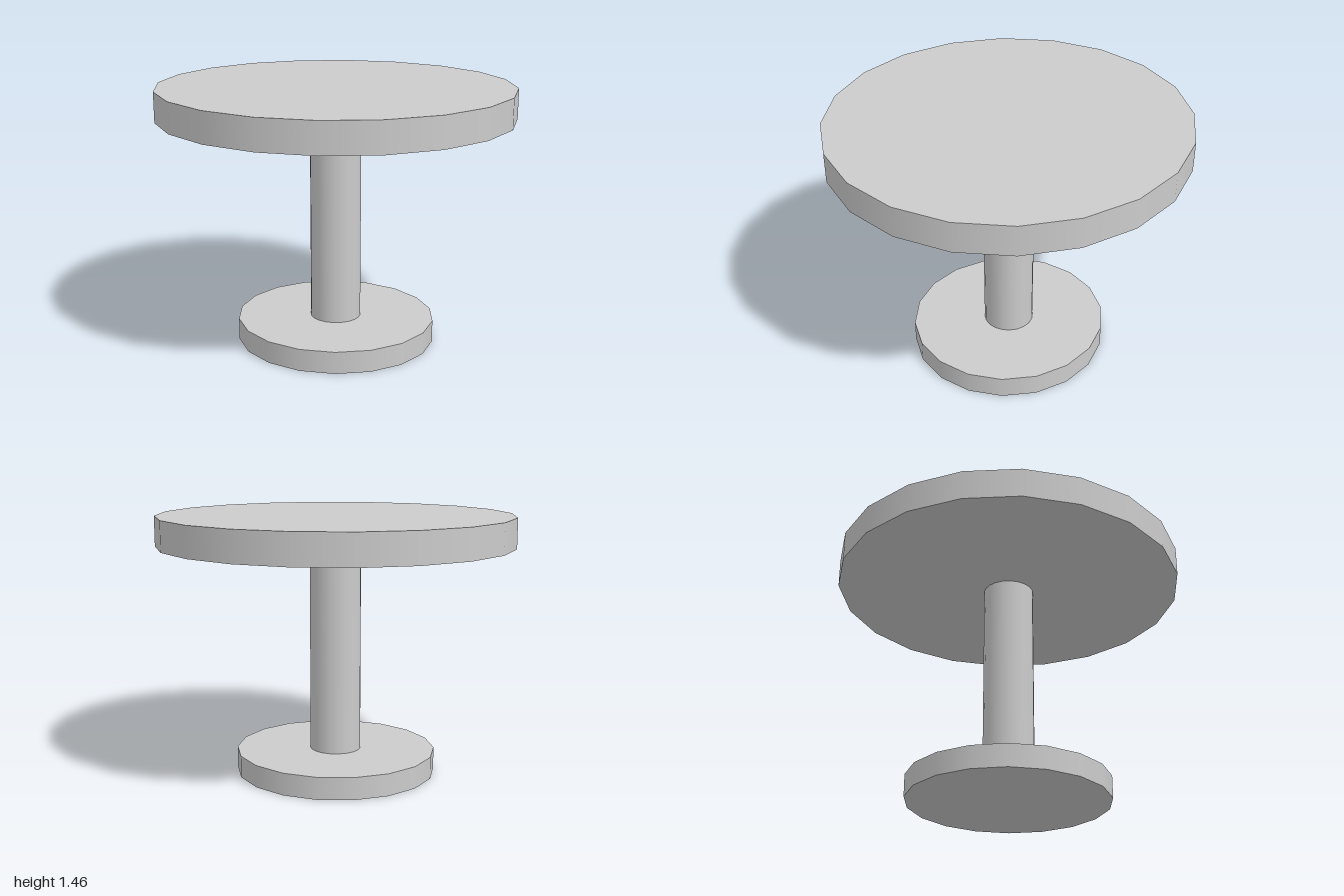
import * as THREE from 'three';

const material = new THREE.MeshStandardMaterial({ color: 0xcccccc });

// One upright disc or post between two heights, slightly narrower in depth
function disc(name, radius, depthRadius, bottom, top, sides) {
  const height = top - bottom;
  const geometry = new THREE.CylinderGeometry(radius, radius, height, sides);
  geometry.scale(1, 1, depthRadius / radius);
  const mesh = new THREE.Mesh(geometry, material);
  mesh.name = name;
  mesh.position.y = bottom + height / 2;
  return mesh;
}

export function createModel() {
  const table = new THREE.Group();
  table.name = 'pedestalTable';
  table.add(
    disc('base', 0.57, 0.555, 0, 0.125, 18),
    disc('column', 0.144, 0.142, 0.125, 1.295, 20),
    disc('tabletop', 1, 0.983, 1.295, 1.463, 20),
  );
  return table;
}
